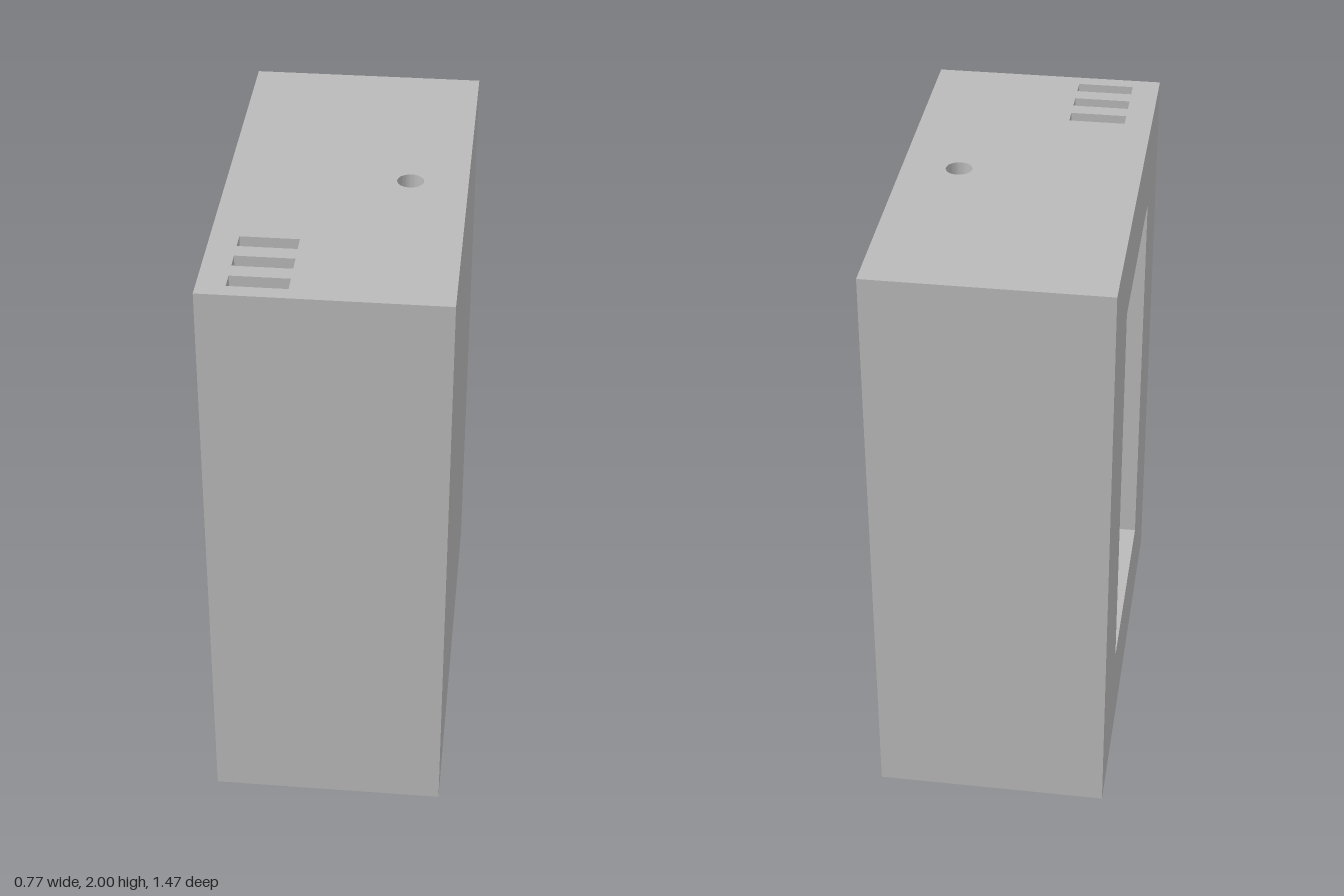
import * as THREE from 'three';
import { mergeGeometries, toCreasedNormals } from 'three/addons/utils/BufferGeometryUtils.js';

const W = 0.77, H = 2, D = 1.47;

// Counter-clockwise outlines
function rect(cx, cy, w, h) {
  return [[-1, -1], [1, -1], [1, 1], [-1, 1]].map(
    ([a, b]) => new THREE.Vector2(cx + a * w / 2, cy + b * h / 2));
}

function circle(cx, cy, r, n = 48) {
  return Array.from({ length: n }, (_, i) => {
    const a = i / n * Math.PI * 2;
    return new THREE.Vector2(cx + r * Math.cos(a), cy + r * Math.sin(a));
  });
}

// Flat panel facing +z, with blind recesses sunk behind it
function recessedPanel(w, h, recesses) {
  const face = new THREE.Shape(rect(0, 0, w, h));
  const parts = [];
  for (const { outline, depth } of recesses) {
    face.holes.push(new THREE.Path(outline));
    // Recess floor
    const floor = new THREE.ShapeGeometry(new THREE.Shape(outline)).translate(0, 0, -depth);
    parts.push(floor.toNonIndexed());
    // Recess walls, facing inward
    const pos = [];
    outline.forEach((p, i) => {
      const q = outline[(i + 1) % outline.length];
      pos.push(p.x, p.y, -depth, q.x, q.y, 0, q.x, q.y, -depth);
      pos.push(p.x, p.y, -depth, p.x, p.y, 0, q.x, q.y, 0);
    });
    const walls = new THREE.BufferGeometry();
    walls.setAttribute('position', new THREE.Float32BufferAttribute(pos, 3));
    walls.computeVertexNormals();
    parts.push(walls);
  }
  parts.push(new THREE.ShapeGeometry(face).toNonIndexed());
  parts.forEach((g) => g.deleteAttribute('uv'));
  return toCreasedNormals(mergeGeometries(parts), Math.PI / 6);
}

export function createModel() {
  const group = new THREE.Group();
  group.name = 'housing';
  const grey = new THREE.MeshStandardMaterial({ color: 0xbababa });
  grey.name = 'grey';

  function add(name, geometry) {
    const mesh = new THREE.Mesh(geometry, grey);
    mesh.name = name;
    group.add(mesh);
  }

  // Plain outer walls
  add('frontWall', new THREE.PlaneGeometry(W, H).translate(0, H / 2, D / 2));
  add('backWall', new THREE.PlaneGeometry(W, H).rotateY(Math.PI).translate(0, H / 2, -D / 2));
  add('leftWall', new THREE.PlaneGeometry(D, H).rotateY(Math.PI / 2).translate(W / 2, H / 2, 0));
  add('base', new THREE.PlaneGeometry(W, D).rotateX(Math.PI / 2));

  // Right wall with the large cavity
  const cavity = { outline: rect(0, 0.025, 0.73, 1.39), depth: 0.405 };
  add('rightWallWithCavity',
    recessedPanel(D, H, [cavity]).rotateY(-Math.PI / 2).translate(-W / 2, H / 2, 0));

  // Top with three slots and a round hole
  const topRecesses = [0.425, 0.54, 0.655].map(
    (z) => ({ outline: rect(-0.202, -z, 0.186, 0.058), depth: 0.1 }));
  topRecesses.push({ outline: circle(0.2, 0, 0.043), depth: 0.1 });
  add('topWithSlotsAndHole',
    recessedPanel(W, D, topRecesses).rotateX(-Math.PI / 2).translate(0, H, 0));

  return group;
}
